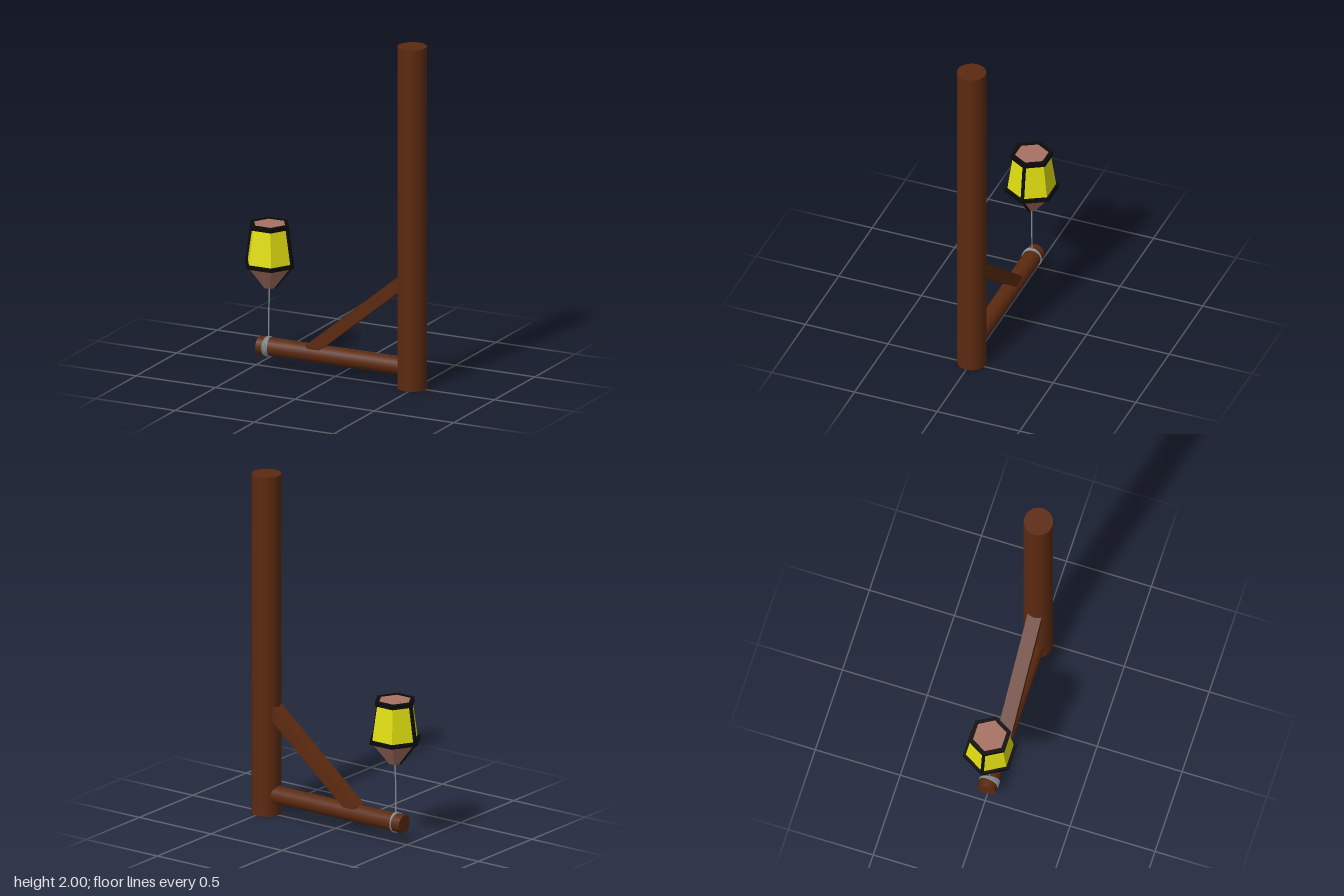
import * as THREE from 'three';

const mat = (color, flatShading = false) => new THREE.MeshStandardMaterial({ color, flatShading });
const wood = mat(0x5c2a10);
const woodFlat = mat(0x5c2a10, true);
const black = mat(0x0a0a0a, true);
const glass = mat(0xe0de10, true);
const clay = mat(0xa87264, true);
const cord = mat(0x8a9196);

function add(parent, name, geometry, material, x = 0, y = 0, z = 0) {
  const mesh = new THREE.Mesh(geometry, material);
  mesh.name = name;
  mesh.position.set(x, y, z);
  parent.add(mesh);
  return mesh;
}

// Six-sided frustum with corners on the x axis
const hex = (top, bottom, height) =>
  new THREE.CylinderGeometry(top, bottom, height, 6, 1, false, Math.PI / 6);

// Six-sided band of rectangular section
function hexBand(inner, outer, height) {
  const h = height / 2;
  const profile = [[inner, -h], [outer, -h], [outer, h], [inner, h], [inner, -h]]
    .map(([r, y]) => new THREE.Vector2(r, y));
  return new THREE.LatheGeometry(profile, 6, Math.PI / 6);
}

// Square bar running between two points in the xy plane
function bar(parent, name, a, b, thick, depth, material) {
  const dx = b[0] - a[0], dy = b[1] - a[1];
  const mesh = add(parent, name, new THREE.BoxGeometry(Math.hypot(dx, dy), thick, depth),
    material, (a[0] + b[0]) / 2, (a[1] + b[1]) / 2);
  mesh.rotation.z = Math.atan2(dy, dx);
  return mesh;
}

export function createModel() {
  const model = new THREE.Group();
  model.name = 'lanternPost';

  // Timber frame
  add(model, 'post', new THREE.CylinderGeometry(0.083, 0.083, 2, 20), wood, 0.484, 1, 0);
  const arm = add(model, 'arm', new THREE.CylinderGeometry(0.052, 0.052, 0.91, 20), wood, -0.025, 0.118, 0);
  arm.rotation.z = Math.PI / 2;
  bar(model, 'brace', [-0.15, 0.14], [0.46, 0.642], 0.07, 0.082, woodFlat);

  // Lantern
  const lantern = new THREE.Group();
  lantern.name = 'lantern';
  lantern.position.x = -0.415;
  model.add(lantern);
  add(lantern, 'glassBody', hex(0.108, 0.14, 0.22), glass, 0, 0.713);
  add(lantern, 'cone', hex(0.14, 0.035, 0.135), clay, 0, 0.5325);
  add(lantern, 'endCap', hex(0.1, 0.1, 0.02), clay, 0, 0.828);
  add(lantern, 'wideBand', hexBand(0.13, 0.155, 0.022), black, 0, 0.605);
  add(lantern, 'narrowBand', hexBand(0.097, 0.121, 0.026), black, 0, 0.829);
  for (const s of [-1, 1]) {
    bar(lantern, 'bodyBar', [s * 0.142, 0.605], [s * 0.11, 0.825], 0.016, 0.016, black);
    bar(lantern, 'coneBar', [s * 0.142, 0.6], [s * 0.034, 0.468], 0.012, 0.012, black);
  }

  // Cord and its windings around the arm
  const path = new THREE.CatmullRomCurve3([
    new THREE.Vector3(-0.416, 0.475, 0),
    new THREE.Vector3(-0.419, 0.32, 0.002),
    new THREE.Vector3(-0.422, 0.168, 0),
  ]);
  add(model, 'cord', new THREE.TubeGeometry(path, 12, 0.004, 6), cord);
  for (const lean of [-0.24, -0.08, 0.08, 0.24]) {
    const loop = add(model, 'cordLoop', new THREE.TorusGeometry(0.055, 0.004, 6, 32), cord,
      -0.422 + lean * 0.03, 0.118, 0);
    loop.rotation.set(0, Math.PI / 2 + lean * 0.5, lean * 0.6);
  }
  return model;
}
